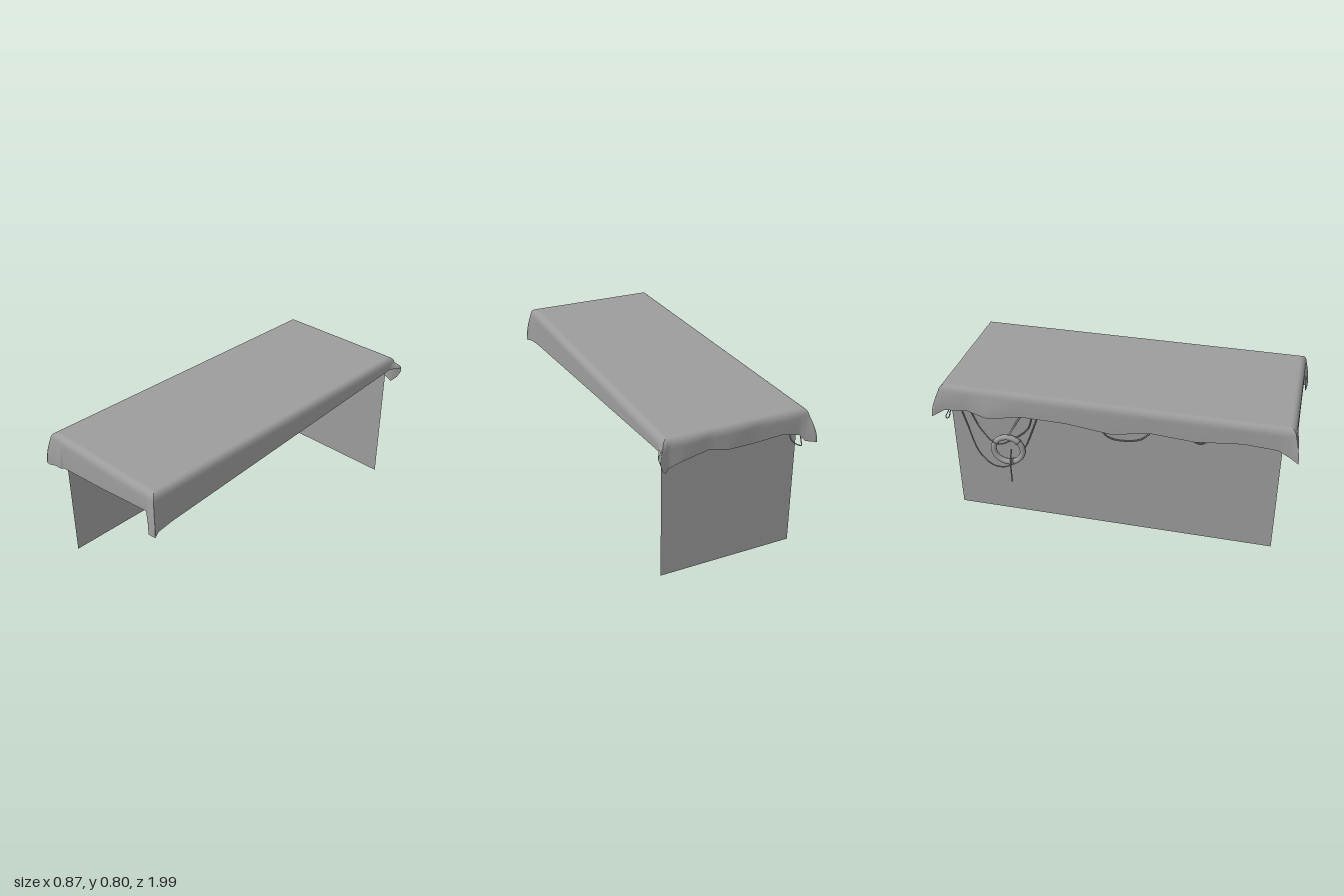
import * as THREE from 'three';

const V = (x, y, z) => new THREE.Vector3(x, y, z);
const clothMaterial = new THREE.MeshStandardMaterial({ color: 0x9c9c9c, side: THREE.DoubleSide });
const ropeMaterial = new THREE.MeshStandardMaterial({ color: 0x9c9c9c });

// Lower edge of the cloth, counter-clockwise seen from above, starting front right
const HEM = [
  [-0.405, 0.61, 0.985], [-0.36, 0.617, 0.975], [-0.315, 0.625, 0.98], [-0.3, 0.626, 0.968],
  [0, 0.65, 0.965], [0.345, 0.69, 0.965],
  // long front left corner
  [0.36, 0.63, 0.972], [0.37, 0.57, 0.98], [0.428, 0.585, 0.988], [0.408, 0.588, 0.95],
  // left side
  [0.4, 0.595, 0.85], [0.4, 0.66, 0], [0.4, 0.73, -0.92],
  // flared back left corner
  [0.435, 0.73, -0.985], [0.428, 0.70, -1.0], [0.412, 0.66, -0.985], [0.385, 0.63, -0.965],
  [0.365, 0.65, -0.957],
  // wavy back
  [0.3, 0.675, -0.965], [0.15, 0.70, -0.957], [0.05, 0.68, -0.966], [-0.1, 0.675, -0.957],
  [-0.25, 0.69, -0.965], [-0.35, 0.665, -0.965],
  // back right corner
  [-0.38, 0.63, -0.975], [-0.435, 0.622, -0.998], [-0.415, 0.66, -0.93],
  // wavy right side
  [-0.405, 0.665, -0.8], [-0.42, 0.64, -0.68], [-0.405, 0.67, -0.5], [-0.403, 0.665, -0.25],
  [-0.403, 0.635, 0], [-0.4, 0.67, 0.22], [-0.402, 0.655, 0.45], [-0.4, 0.68, 0.7],
  [-0.402, 0.67, 0.88], [-0.408, 0.64, 0.94], [-0.42, 0.615, 0.988],
].map(p => V(...p));

// Cross-section at one hem point: flat top, rounded shoulder, then a slightly bulging skirt
function clothSection(h, rows) {
  const pinch = (mx, y, mz) =>
    V(THREE.MathUtils.clamp(h.x, -mx, mx), y, THREE.MathUtils.clamp(h.z, -mz, mz));
  const shoulder = new THREE.QuadraticBezierCurve3(
    pinch(0.365, 0.802, 0.925), pinch(0.393, 0.801, 0.955), pinch(0.4, 0.765, 0.962));
  const points = shoulder.getPoints(6);
  const start = points[6];
  for (let i = 1; i <= rows; i++) {
    const t = i / rows, out = Math.sin(t * Math.PI / 2);
    const p = start.clone().lerp(h, out);
    p.y = THREE.MathUtils.lerp(start.y, h.y, t);
    points.push(p);
  }
  return points;
}

function clothGeometry() {
  const steps = 4, rows = 6, positions = [0, 0.8, 0], index = [];
  const sections = [];
  HEM.forEach((p, i) => {
    const q = HEM[(i + 1) % HEM.length];
    for (let s = 0; s < steps; s++) sections.push(clothSection(p.clone().lerp(q, s / steps), rows));
  });
  const n = sections.length, m = sections[0].length;
  sections.forEach((section, i) => {
    section.forEach(p => positions.push(p.x, p.y, p.z));
    const a = 1 + i * m, b = 1 + ((i + 1) % n) * m;
    index.push(0, a, b);
    for (let j = 0; j < m - 1; j++) index.push(a + j, a + j + 1, b + j, b + j, a + j + 1, b + j + 1);
  });
  const geometry = new THREE.BufferGeometry();
  geometry.setAttribute('position', new THREE.Float32BufferAttribute(positions, 3));
  geometry.setIndex(index);
  geometry.computeVertexNormals();
  return geometry;
}

export function createModel() {
  const model = new THREE.Group();
  const add = (name, geometry, material = clothMaterial) => {
    const mesh = new THREE.Mesh(geometry, material);
    mesh.name = name;
    model.add(mesh);
    return mesh;
  };
  const rope = (name, points, radius = 0.004) => add(name,
    new THREE.TubeGeometry(new THREE.CatmullRomCurve3(points.map(p => V(...p))), 40, radius, 6),
    ropeMaterial);

  add('cloth', clothGeometry());

  // Two thin walls; the front and left side stay open
  add('backWall', new THREE.PlaneGeometry(0.75, 0.785)).position.set(0.005, 0.3925, -0.905);
  const sideWall = add('sideWall', new THREE.PlaneGeometry(1.805, 0.785));
  sideWall.rotation.y = -Math.PI / 2;
  sideWall.position.set(-0.37, 0.3925, -0.0025);

  // Coil of rope hanging against the side wall
  const coil = new THREE.Group();
  coil.name = 'ropeCoil';
  coil.position.set(-0.4, 0.44, -0.585);
  coil.rotation.set(0, Math.PI / 2 + 0.08, 0);
  model.add(coil);
  coil.add(new THREE.Mesh(new THREE.TorusGeometry(0.082, 0.016, 10, 40), ropeMaterial));
  coil.children[0].name = 'coilRing';
  for (const angle of [0.6, 2.4, 4.4]) {
    const wrap = new THREE.Mesh(new THREE.TorusGeometry(0.017, 0.003, 6, 16), ropeMaterial);
    wrap.name = 'coilBinding';
    wrap.position.set(0.082 * Math.cos(angle), 0.082 * Math.sin(angle), 0);
    wrap.rotation.set(Math.PI / 2, 0, angle, 'ZXY');
    coil.add(wrap);
  }

  // Loose strands carrying the coil, and its tail
  rope('longStrand', [[-0.39, 0.66, -0.84], [-0.395, 0.56, -0.81], [-0.41, 0.4, -0.75],
    [-0.41, 0.325, -0.67], [-0.405, 0.33, -0.59], [-0.395, 0.44, -0.5], [-0.385, 0.66, -0.41]]);
  rope('shortStrand', [[-0.39, 0.66, -0.79], [-0.4, 0.55, -0.73], [-0.415, 0.48, -0.64],
    [-0.395, 0.52, -0.54], [-0.378, 0.58, -0.47], [-0.385, 0.66, -0.44]]);
  rope('hanger', [[-0.385, 0.67, -0.5], [-0.39, 0.6, -0.54], [-0.4, 0.52, -0.585]], 0.005);
  rope('ropeTail', [[-0.415, 0.46, -0.56], [-0.42, 0.36, -0.57], [-0.42, 0.235, -0.57]]);
  rope('cornerStrand', [[-0.3, 0.69, -0.935], [-0.33, 0.62, -0.94], [-0.38, 0.59, -0.945],
    [-0.395, 0.6, -0.92], [-0.39, 0.67, -0.9]], 0.003);

  // Slack loops under the edge of the cloth
  for (const [z, half, low] of [[0.07, 0.16, 0.595], [0.48, 0.07, 0.64]])
    rope('slackLoop', [[-0.39, 0.68, z - half], [-0.39, low + 0.01, z - half * 0.5],
      [-0.39, low, z], [-0.39, low + 0.025, z + half * 0.6], [-0.39, 0.69, z + half]]);

  return model;
}
